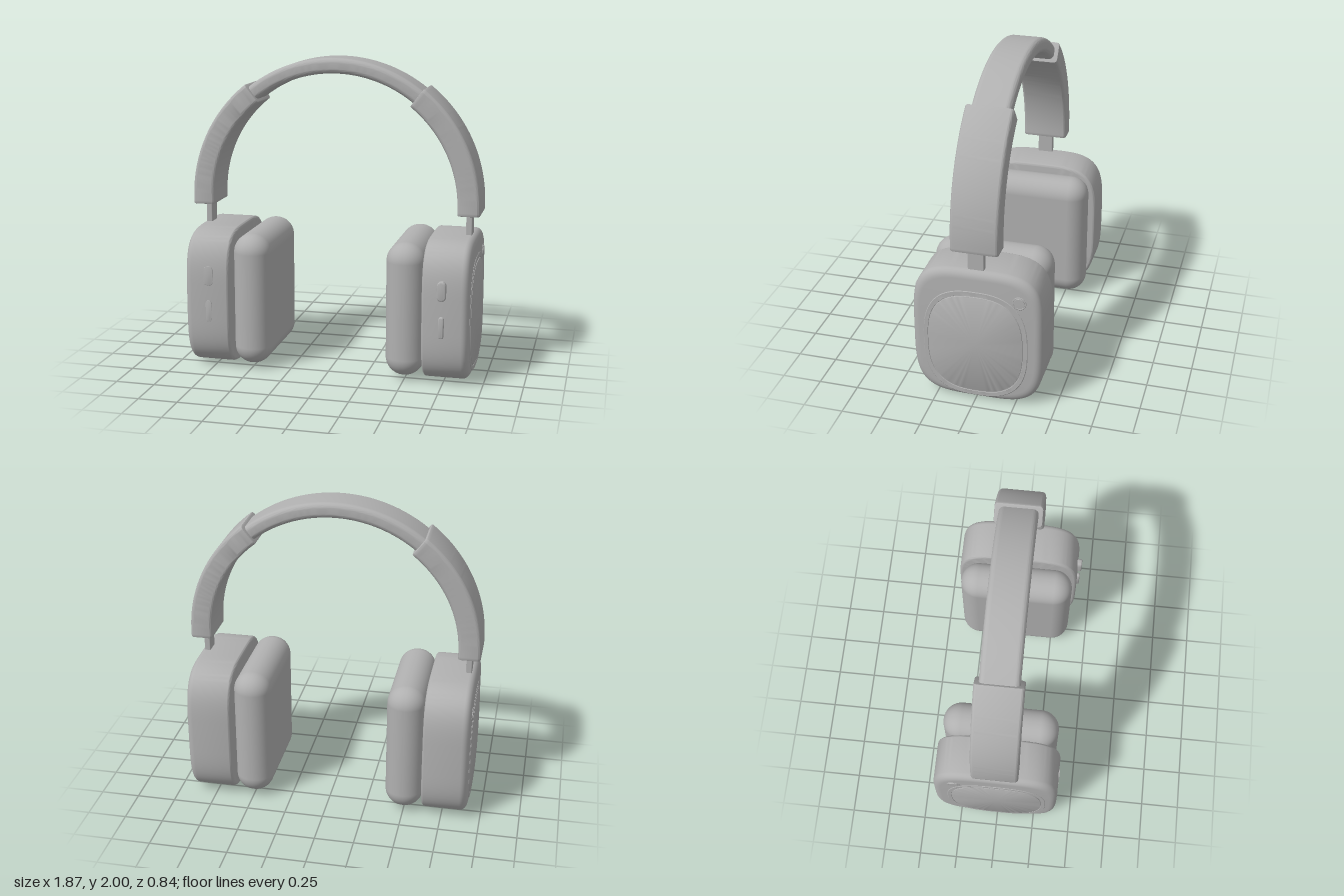
import * as THREE from 'three';
import { toCreasedNormals } from 'three/addons/utils/BufferGeometryUtils.js';
import { RoundedBoxGeometry } from 'three/addons/geometries/RoundedBoxGeometry.js';

const MID_Z = -0.01;          // centre plane of band and cups
const ARC_R = 0.866, ARC_Y = 1.085; // centre line of the headband

const grey = new THREE.MeshStandardMaterial({ color: 0xb0b0b0 });
grey.name = 'satinGrey';

function add(parent, name, geometry, x = 0, y = 0, z = 0) {
  const mesh = new THREE.Mesh(geometry, grey);
  mesh.name = name;
  mesh.position.set(x, y, z);
  parent.add(mesh);
  return mesh;
}

// Rounded rectangle centred on the origin
function roundedRect(w, h, r) {
  const s = new THREE.Shape(), x = w / 2, y = h / 2;
  s.absarc(x - r, y - r, r, 0, Math.PI / 2);
  s.absarc(r - x, y - r, r, Math.PI / 2, Math.PI);
  s.absarc(r - x, r - y, r, Math.PI, Math.PI * 1.5);
  s.absarc(x - r, r - y, r, Math.PI * 1.5, Math.PI * 2);
  s.closePath();
  return s;
}

// Bar bent along the headband arc; negative distances run straight down
function bentBar(thick, width, radius, from, to) {
  const b = 0.006;
  const g = new THREE.ExtrudeGeometry(roundedRect(thick, width, radius), {
    depth: to - from - 2 * b, steps: 56, curveSegments: 6,
    bevelThickness: b, bevelSize: b, bevelOffset: -b, bevelSegments: 2,
  });
  const p = g.attributes.position;
  for (let i = 0; i < p.count; i++) {
    const s = p.getZ(i) + from + b, a = Math.max(s, 0) / ARC_R;
    const r = ARC_R + p.getX(i);
    p.setXYZ(i, r * Math.cos(a), r * Math.sin(a) + Math.min(s, 0), -p.getY(i));
  }
  return toCreasedNormals(g, 0.6);
}

// Lathe profile (fraction of radius, height) stretched to a squircle, facing side * x
function squircle(profile, halfY, halfZ, n, side) {
  const g = new THREE.LatheGeometry(profile.map(([r, h]) => new THREE.Vector2(r, h)), 96);
  const p = g.attributes.position;
  const bulge = (c) => Math.sign(c) * Math.abs(c) ** (2 / n);
  for (let i = 0; i < p.count; i++) {
    const x = p.getX(i), z = p.getZ(i), r = Math.hypot(x, z) || 1e-9;
    p.setX(i, halfY * r * bulge(x / r));
    p.setZ(i, halfZ * r * bulge(z / r));
  }
  g.rotateZ(-side * Math.PI / 2);
  return toCreasedNormals(g, 0.6);
}

// Cup profile with a soft outer edge and a tighter inner edge
function cupProfile(depth) {
  const pts = [[0, 0]];
  const corner = (r, h, rad, start) => {
    for (let i = 0; i <= 6; i++) {
      const a = start + (i / 6) * Math.PI / 2;
      pts.push([1 - r / 0.42 + Math.cos(a) * r / 0.42, h + Math.sin(a) * rad]);
    }
  };
  corner(0.02, 0.02, 0.02, -Math.PI / 2);
  corner(0.05, depth - 0.045, 0.045, 0);
  pts.push([0, depth]);
  return pts;
}

// Pill-shaped piece with a softened front edge, facing +z
function pill(w, h, depth, bevel) {
  const g = new THREE.ExtrudeGeometry(roundedRect(w, h, Math.min(w, h) / 2 - 0.0005), {
    depth: depth - bevel, curveSegments: 8,
    bevelThickness: bevel, bevelSize: bevel, bevelOffset: -bevel, bevelSegments: 3,
  });
  return toCreasedNormals(g, 0.6);
}

function earcup(side) {
  const cup = new THREE.Group();
  cup.name = side > 0 ? 'leftEarcup' : 'rightEarcup';

  add(cup, 'cupShell', squircle(cupProfile(0.292), 0.45, 0.408, 4, side), side * 0.622, 0.454, MID_Z - 0.002);
  add(cup, 'earCushion', new RoundedBoxGeometry(0.245, 0.86, 0.755, 8, 0.12), side * 0.4985, 0.455, MID_Z - 0.002);

  // Outer cover: low rim with a slightly raised face
  const cover = [[0, -0.05], [1, -0.05], [1, 0.001], [0.99, 0.004], [0.92, 0.004], [0.915, 0.001],
    [0.905, 0.001], [0.9, 0.005], [0.89, 0.007], [0, 0.007]];
  add(cup, 'coverPlate', squircle(cover, 0.37, 0.327, 2.7, side), side * 0.914, 0.4, -0.003);

  // Round button in the upper rear corner
  const button = [[0, -0.03], [1, -0.03], [1, 0.002], [0.95, 0.004], [0.82, 0.004], [0.8, 0.001],
    [0.76, 0.001], [0.74, 0.006], [0, 0.008]];
  add(cup, 'roundButton', squircle(button, 0.043, 0.043, 2, side), side * 0.914, 0.733, -0.278);

  // Front controls: raised on one cup, flush on the other
  if (side > 0) {
    add(cup, 'upperButton', pill(0.056, 0.125, 0.045, 0.008), 0.748, 0.625, 0.376);
    add(cup, 'lowerButton', pill(0.034, 0.137, 0.04, 0.007), 0.748, 0.393, 0.376);
  } else {
    add(cup, 'upperInset', pill(0.06, 0.13, 0.006, 0.001), -0.755, 0.625, 0.392);
    add(cup, 'lowerInset', pill(0.038, 0.14, 0.006, 0.001), -0.755, 0.393, 0.393);
  }

  // Port on the underside
  const port = add(cup, 'bottomPort', pill(0.03, 0.085, 0.006, 0.001), side * 0.76, 0.006, MID_Z);
  port.rotation.x = Math.PI / 2;

  // Slider stem between cup and band
  add(cup, 'sliderStem', new RoundedBoxGeometry(0.038, 0.26, 0.1, 2, 0.005), side * 0.861, 0.97, -0.003);
  return cup;
}

export function createModel() {
  const model = new THREE.Group();
  model.name = 'headphones';

  const half = Math.PI / 2 * ARC_R, sleeveEnd = 0.909 * ARC_R;
  add(model, 'headband', bentBar(0.098, 0.242, 0.034, sleeveEnd - 0.06, 2 * half - sleeveEnd + 0.06), 0, ARC_Y, MID_Z + 0.002);

  for (const side of [1, -1]) {
    const sleeve = add(model, side > 0 ? 'leftBandSleeve' : 'rightBandSleeve',
      bentBar(0.142, 0.297, 0.025, -0.047, sleeveEnd), 0, ARC_Y, MID_Z + 0.002);
    if (side < 0) sleeve.rotation.y = Math.PI;
    model.add(earcup(side));
  }
  return model;
}
